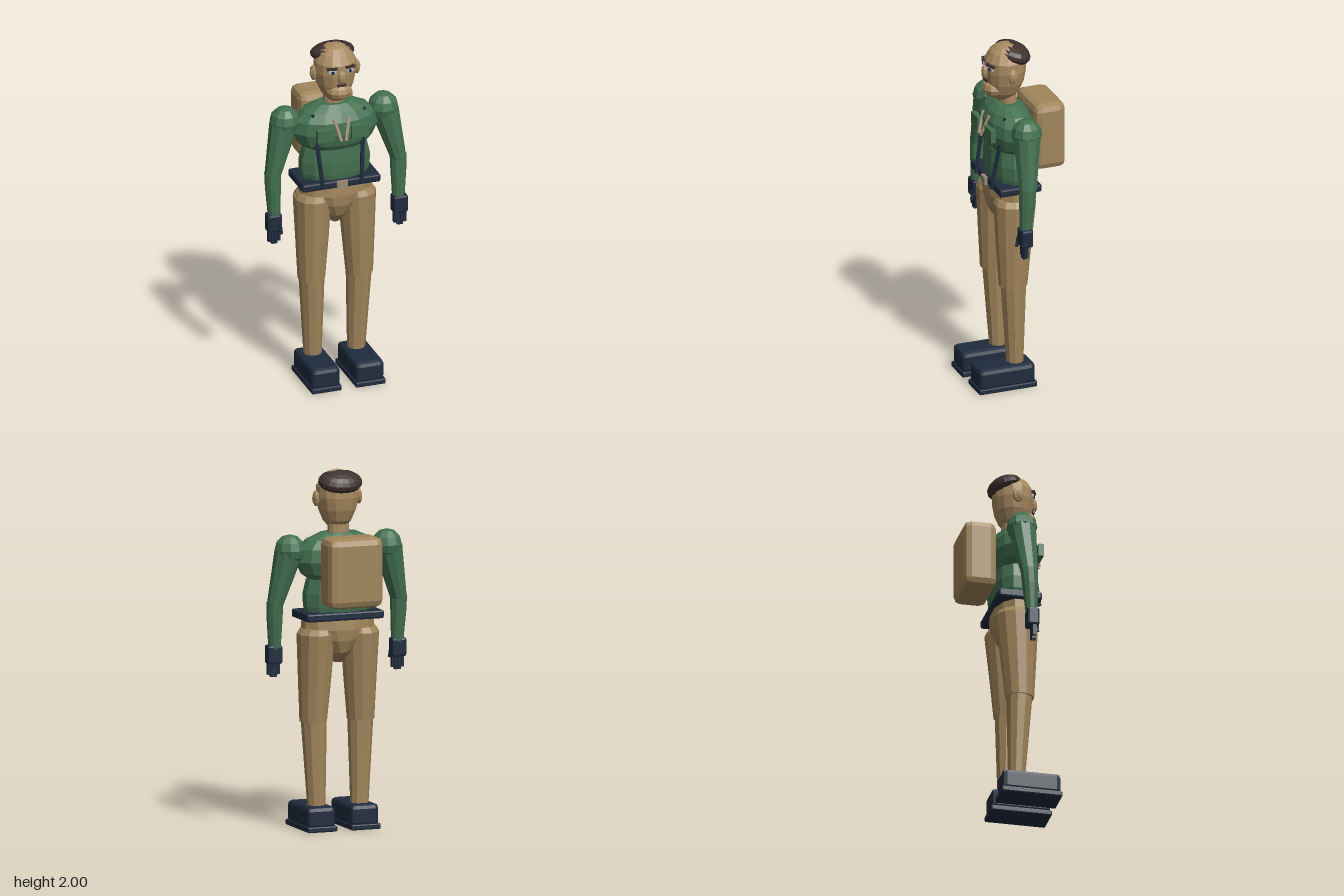
import * as THREE from 'three';
import { RoundedBoxGeometry } from 'three/addons/geometries/RoundedBoxGeometry.js';

const mat = (name, color, side = THREE.FrontSide) =>
  new THREE.MeshStandardMaterial({ name, color, side, flatShading: true });

const M = {
  skin: mat('skin', 0xa88a60),
  trousers: mat('trousers', 0xa1855b),
  pack: mat('canvas', 0xa1865c),
  shirt: mat('shirt green', 0x437050),
  navy: mat('navy leather', 0x1f2b3d),
  hair: mat('dark brown hair', 0x40322f, THREE.DoubleSide),
  cord: mat('cord', 0xb0977c),
  buckle: mat('buckle', 0x9c8c72),
  eye: mat('eye white', 0xb4bcc4),
};

// Closed stack of elliptical rings [x, y, z, rx, rz], listed bottom to top
function loft(rings, n = 12) {
  const pos = [], idx = [];
  for (const [x, y, z, rx, rz] of rings)
    for (let i = 0; i < n; i++) {
      const a = ((i + 0.5) / n) * Math.PI * 2;
      pos.push(x + rx * Math.cos(a), y, z + rz * Math.sin(a));
    }
  const top = (rings.length - 1) * n, c = rings.length * n;
  pos.push(...rings[0].slice(0, 3), ...rings[rings.length - 1].slice(0, 3));
  for (let i = 0; i < n; i++) {
    const k = (i + 1) % n;
    for (let r = 0; r < top; r += n)
      idx.push(r + i, r + n + i, r + k, r + k, r + n + i, r + n + k);
    idx.push(c, i, k, c + 1, top + k, top + i);
  }
  const g = new THREE.BufferGeometry();
  g.setAttribute('position', new THREE.Float32BufferAttribute(pos, 3));
  g.setIndex(idx);
  g.computeVertexNormals();
  return g;
}

export function createModel() {
  const model = new THREE.Group();
  model.name = 'figure';

  const add = (name, geo, material, x = 0, y = 0, z = 0) => {
    const m = new THREE.Mesh(geo, material);
    m.name = name;
    m.position.set(x, y, z);
    model.add(m);
    return m;
  };
  const box = (name, material, w, h, d, x, y, z) =>
    add(name, new THREE.BoxGeometry(w, h, d), material, x, y, z);
  const chamferBox = (name, material, w, h, d, r, x, y, z) =>
    add(name, new RoundedBoxGeometry(w, h, d, 1, r), material, x, y, z);
  const ball = (name, material, rx, ry, rz, x, y, z, n = 10) =>
    add(name, new THREE.SphereGeometry(1, n, 6).scale(rx, ry, rz), material, x, y, z);
  const rod = (name, material, r, from, to) => {
    const a = new THREE.Vector3(...from), b = new THREE.Vector3(...to);
    const dir = b.clone().sub(a);
    const m = add(name, new THREE.CylinderGeometry(r, r, dir.length(), 6), material);
    m.position.copy(a).add(b).multiplyScalar(0.5);
    m.quaternion.setFromUnitVectors(new THREE.Vector3(0, 1, 0), dir.normalize());
    return m;
  };

  // Torso
  add('belly', loft([
    [0, 1.19, 0.025, 0.185, 0.105], [0, 1.25, 0.025, 0.203, 0.115],
    [0, 1.32, 0.025, 0.205, 0.117], [0, 1.4, 0.025, 0.185, 0.11],
  ]), M.shirt);
  add('chest', loft([
    [0, 1.385, 0.027, 0.155, 0.095], [0, 1.43, 0.028, 0.215, 0.122],
    [0, 1.5, 0.028, 0.248, 0.138], [0, 1.57, 0.028, 0.235, 0.13],
    [0, 1.62, 0.026, 0.19, 0.105], [0, 1.655, 0.025, 0.11, 0.065],
  ], 14), M.shirt);

  // Pelvis, belt and buckle
  add('pelvis', loft([
    [0, 0.93, 0.03, 0.025, 0.03], [0, 0.99, 0.03, 0.075, 0.085],
    [0, 1.06, 0.03, 0.15, 0.113], [0, 1.12, 0.03, 0.212, 0.12],
    [0, 1.18, 0.03, 0.21, 0.115],
  ]), M.trousers);
  chamferBox('belt', M.navy, 0.455, 0.046, 0.245, 0.01, 0, 1.198, 0.028);
  box('beltBuckle', M.buckle, 0.062, 0.042, 0.02, 0, 1.198, 0.156);

  // Backpack
  chamferBox('backpack', M.pack, 0.32, 0.39, 0.185, 0.04, 0, 1.46, -0.178);

  // Neck and head
  add('neck', loft([[0, 1.62, 0.02, 0.062, 0.05], [0, 1.74, 0.02, 0.058, 0.048]]), M.skin);
  add('head', loft([
    [0, 1.68, 0.045, 0.045, 0.055], [0, 1.72, 0.04, 0.08, 0.085],
    [0, 1.78, 0.036, 0.106, 0.105], [0, 1.85, 0.035, 0.12, 0.116],
    [0, 1.91, 0.035, 0.118, 0.114], [0, 1.96, 0.032, 0.092, 0.09],
    [0, 1.988, 0.03, 0.055, 0.055], [0, 2.0, 0.03, 0.015, 0.015],
  ], 14), M.skin);
  ball('jaw', M.skin, 0.073, 0.05, 0.062, 0, 1.745, 0.105);
  ball('nose', M.skin, 0.025, 0.042, 0.022, 0, 1.845, 0.152, 8);
  box('moustache', M.hair, 0.05, 0.012, 0.012, 0, 1.797, 0.15);

  // Hair: flattened cap with the faces over the bald forehead left out
  const cap = new THREE.SphereGeometry(1, 18, 9).toNonIndexed();
  const p = cap.attributes.position.array, kept = [];
  for (let i = 0; i < p.length; i += 9) {
    const x = Math.abs(p[i] + p[i + 3] + p[i + 6]) / 3;
    const z = (p[i + 2] + p[i + 5] + p[i + 8]) / 3;
    if (z < 0.27 || x > 0.3 + (z - 0.27) * 0.55) kept.push(...p.slice(i, i + 9));
  }
  const hairGeo = new THREE.BufferGeometry();
  hairGeo.setAttribute('position', new THREE.Float32BufferAttribute(kept, 3));
  hairGeo.scale(0.126, 0.059, 0.1).rotateX(-0.3).computeVertexNormals();
  add('hair', hairGeo, M.hair, 0, 1.937, -0.008);

  for (const s of [1, -1]) {
    const side = s > 0 ? 'left' : 'right';

    // Face details
    ball(side + 'Ear', M.skin, 0.018, 0.045, 0.03, s * 0.126, 1.845, 0.035, 8);
    ball(side + 'EarInner', M.skin, 0.012, 0.028, 0.016, s * 0.136, 1.845, 0.038, 6);
    box(side + 'Eye', M.eye, 0.042, 0.016, 0.009, s * 0.05, 1.878, 0.141).rotation.y = s * 0.35;
    box(side + 'Pupil', M.navy, 0.015, 0.016, 0.006, s * 0.05, 1.878, 0.146).rotation.y = s * 0.35;
    const brow = box(side + 'Brow', M.hair, 0.058, 0.012, 0.018, s * 0.054, 1.9, 0.141);
    brow.rotation.set(0, s * 0.35, s * -0.08);

    // Chest pockets, neck cords and front straps
    box(side + 'Pocket', M.shirt, 0.1, 0.072, 0.03, s * 0.1, 1.513, 0.161);
    rod(side + 'Cord', M.cord, 0.009, [s * 0.043, 1.595, 0.145], [s * 0.014, 1.475, 0.183]);
    rod(side + 'Strap', M.navy, 0.012, [s * 0.112, 1.19, 0.16], [s * 0.148, 1.617, 0.09]);

    // Arm
    ball(side + 'Shoulder', M.shirt, 0.086, 0.086, 0.086, s * 0.287, 1.57, 0.02, 10);
    add(side + 'UpperArm', loft([
      [s * 0.366, 1.26, 0.044, 0.045, 0.05], [s * 0.288, 1.57, 0.02, 0.084, 0.08],
    ], 10), M.shirt);
    add(side + 'Forearm', loft([
      [s * 0.363, 1.02, 0.057, 0.034, 0.034], [s * 0.366, 1.19, 0.048, 0.044, 0.046],
      [s * 0.366, 1.28, 0.043, 0.046, 0.05],
    ], 10), M.shirt);

    // Gloved hand
    chamferBox(side + 'Hand', M.navy, 0.085, 0.105, 0.068, 0.012, s * 0.367, 0.987, 0.06);
    for (let i = 0; i < 4; i++) {
      const len = i === 0 || i === 3 ? 0.07 : 0.084;
      box(side + 'Finger', M.navy, 0.016, len, 0.022, s * (0.339 + i * 0.0185), 0.945 - len / 2, 0.066);
    }
    rod(side + 'Thumb', M.navy, 0.01, [s * 0.34, 0.985, 0.09], [s * 0.335, 0.925, 0.098]);

    // Leg
    add(side + 'Thigh', loft([
      [s * 0.14, 0.605, 0.042, 0.076, 0.08], [s * 0.134, 0.85, 0.036, 0.092, 0.1],
      [s * 0.13, 1.095, 0.028, 0.106, 0.12], [s * 0.125, 1.125, 0.028, 0.09, 0.105],
    ]), M.trousers);
    add(side + 'Shin', loft([
      [s * 0.127, 0.12, 0.027, 0.05, 0.048], [s * 0.138, 0.62, 0.04, 0.072, 0.074],
    ], 10), M.trousers);

    // Shoe
    chamferBox(side + 'Shoe', M.navy, 0.165, 0.125, 0.33, 0.025, s * 0.128, 0.078, 0.097);
    chamferBox(side + 'Sole', M.navy, 0.174, 0.032, 0.342, 0.007, s * 0.128, 0.016, 0.097);
  }
  return model;
}
